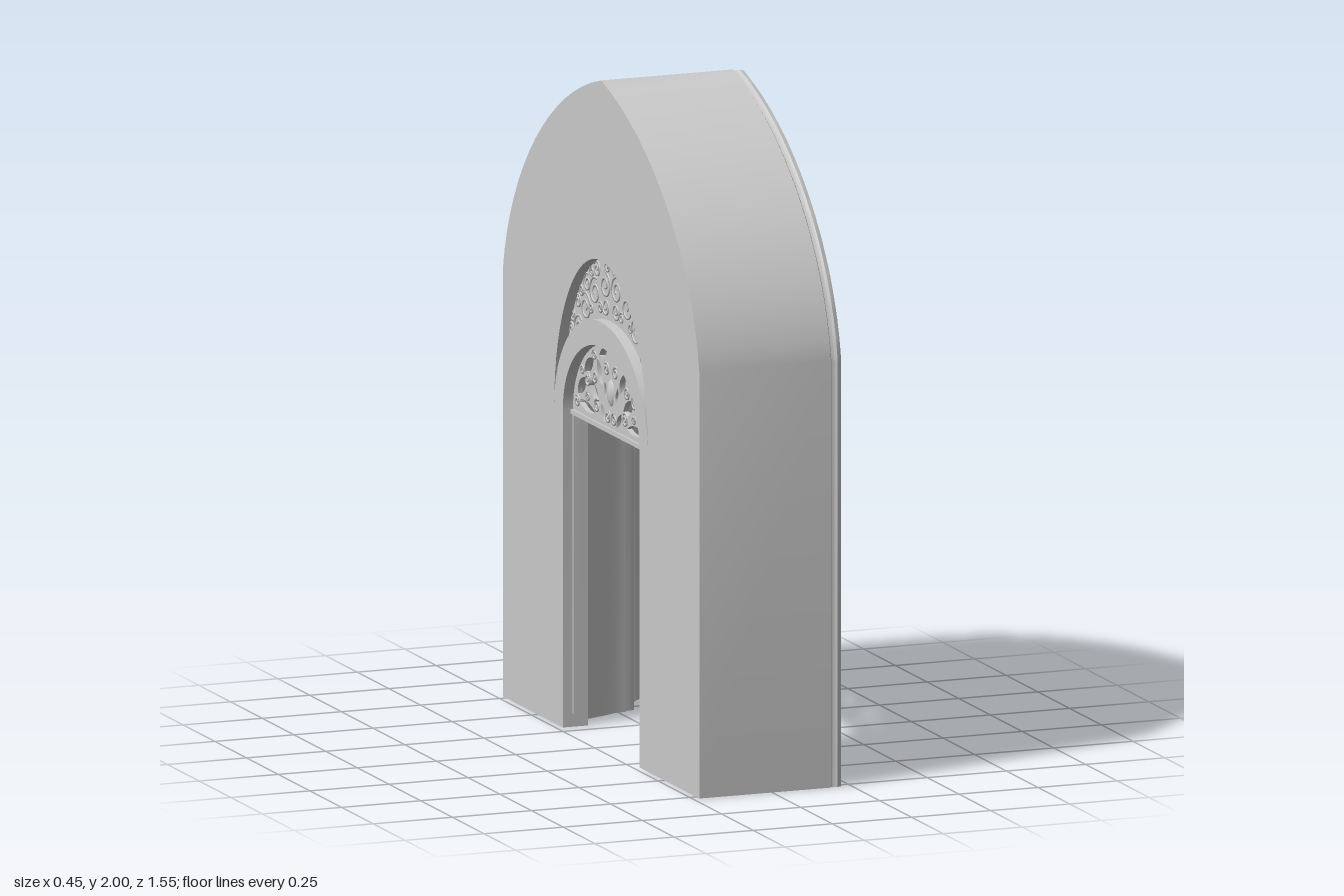
import * as THREE from 'three';
import { toCreasedNormals, mergeGeometries } from 'three/addons/utils/BufferGeometryUtils.js';

const material = new THREE.MeshStandardMaterial({ color: 0xcccccc });
const SEG = 16;

// Nested arch outlines: half width, spring height, apex height, roundness (0 pointed, 1 elliptical)
const KEYS = [
  [0.37, 0.95, 1.46, 1], [0.44, 0.98, 1.54, 0.8], [0.46, 1.0, 1.575, 0.7], [0.535, 1.08, 1.72, 0.5],
  [0.56, 1.1, 1.755, 0.45], [0.63, 1.19, 1.825, 0.25], [0.71, 1.26, 1.94, 0.1], [0.775, 1.28, 2.0, 0],
];

function archFor(w) {
  let i = 0;
  while (i < KEYS.length - 2 && w > KEYS[i + 1][0]) i++;
  const a = KEYS[i], b = KEYS[i + 1], t = (w - a[0]) / (b[0] - a[0]);
  return a.map((v, n) => v + (b[n] - v) * t);
}

// Points over one arch, from the +side foot over the apex to the other foot
function archPoints([w, spring, apex, round], foot = 0) {
  const mix = (a, b) => a + (b - a) * round, h = apex - spring;
  const curve = new THREE.CubicBezierCurve(
    new THREE.Vector2(w, spring),
    new THREE.Vector2(w * mix(0.93, 1), spring + h * mix(0.45, 0.55)),
    new THREE.Vector2(w * mix(0.52, 0.55), spring + h * mix(0.86, 1)),
    new THREE.Vector2(0, apex));
  const half = curve.getPoints(SEG);
  if (foot < spring) half.unshift(new THREE.Vector2(w, foot));
  const other = half.slice(0, -1).reverse().map(p => new THREE.Vector2(-p.x, p.y));
  return [...half, ...other];
}

// Closed moulding section [half width, depth] carried along its nested arches
function mouldedArch(section) {
  const rows = section.map(([w, x]) => archPoints(archFor(w)).map(p => [x, p.y, p.x]));
  const pos = [], n = rows.length, m = rows[0].length;
  for (let i = 0; i < n; i++) {
    const a = rows[i], b = rows[(i + 1) % n];
    for (let j = 0; j < m - 1; j++)
      pos.push(...a[j], ...b[j], ...b[j + 1], ...a[j], ...b[j + 1], ...a[j + 1]);
  }
  // feet
  const faces = THREE.ShapeUtils.triangulateShape(section.map(p => new THREE.Vector2(...p)), []);
  for (const [a, b, c] of faces) {
    pos.push(...rows[a][0], ...rows[c][0], ...rows[b][0]);
    pos.push(...rows[a][m - 1], ...rows[b][m - 1], ...rows[c][m - 1]);
  }
  const geo = new THREE.BufferGeometry();
  geo.setAttribute('position', new THREE.Float32BufferAttribute(pos, 3));
  return toCreasedNormals(geo, 0.6);
}

// Flat shape in the plane of the doorway, thickened from x0 to x1
function plate(shape, x0, x1) {
  const geo = new THREE.ExtrudeGeometry(shape, { depth: x1 - x0, bevelEnabled: false, curveSegments: 8 });
  geo.rotateY(Math.PI / 2).translate(x0, 0, 0);
  return toCreasedNormals(geo, 0.6);
}

function leafHole(x, y, length, width, angle) {
  const at = (u, v) => [x + u * Math.cos(angle) - v * Math.sin(angle), y + u * Math.sin(angle) + v * Math.cos(angle)];
  const l = length / 2, path = new THREE.Path();
  path.moveTo(...at(-l, 0));
  path.quadraticCurveTo(...at(0.01, width), ...at(l, 0));
  path.quadraticCurveTo(...at(-0.01, -width), ...at(-l, 0));
  return path;
}

// Spiral stem, deeper than it is wide
function scroll(z, y, r, start, turn) {
  const pts = [];
  for (let i = 0; i <= 12; i++) {
    const t = i / 12, a = start + turn * t * Math.PI * 3, q = r * (1 - 0.8 * t);
    pts.push(new THREE.Vector3(0, y + q * Math.sin(a), z + q * Math.cos(a)));
  }
  return new THREE.TubeGeometry(new THREE.CatmullRomCurve3(pts), 36, 0.005, 5).scale(2.6, 1, 1);
}

const mirroredScrolls = list => mergeGeometries(list.flatMap(([z, y, r, a, d]) =>
  [scroll(z, y, r, a, d), scroll(-z, y, r, Math.PI - a, -d)]));

export function createModel() {
  const model = new THREE.Group();
  const add = (name, geo, x = 0, y = 0, z = 0) => {
    const mesh = new THREE.Mesh(geo, material);
    mesh.name = name;
    mesh.position.set(x, y, z);
    model.add(mesh);
  };

  // Splayed surround: outer wall, broad front roll, hollow, steps and the slanted reveal
  add('mouldedSurround', mouldedArch([
    [0.775, -0.23], [0.775, 0.186], [0.768, 0.19], [0.768, 0.2], [0.773, 0.208], [0.768, 0.221],
    [0.755, 0.224], [0.722, 0.222], [0.716, 0.208], [0.7, 0.206], [0.68, 0.214], [0.655, 0.225],
    [0.635, 0.225], [0.618, 0.213], [0.608, 0.19], [0.602, 0.16], [0.592, 0.13], [0.578, 0.112],
    [0.565, 0.105], [0.562, 0.09], [0.555, 0.095], [0.547, 0.09], [0.543, 0.075], [0.535, 0.07],
    [0.532, 0.06], [0.468, 0.045], [0.466, 0.055], [0.46, 0.058], [0.453, 0.05], [0.45, 0.03],
    [0.44, 0.025], [0.435, -0.01], [0.415, -0.05], [0.39, -0.11], [0.37, -0.15], [0.37, -0.23],
  ]));

  // Inner door frame
  const frameShape = new THREE.Shape([
    ...archPoints([0.37, 0.95, 1.275, 1]),
    ...archPoints([0.302, 0.95, 1.2, 1]).reverse(),
  ]);
  add('doorFrame', plate(frameShape, -0.23, -0.15));
  for (const side of [1, -1])
    add('jambBead', new THREE.BoxGeometry(0.02, 0.9, 0.01), -0.19, 0.49, side * 0.299);

  // Upper panel between the frame and the surround
  const upper = new THREE.Shape([
    ...archPoints([0.372, 0.95, 1.462, 1], 1),
    ...archPoints([0.335, 0.95, 1.24, 1], 1).reverse(),
  ]);
  add('upperPanel', plate(upper, -0.198, -0.182));
  add('upperScrolls', mirroredScrolls([
    [0.045, 1.375, 0.042, 1.6, 1], [0.04, 1.312, 0.028, 0, -1], [0.125, 1.34, 0.045, 2, -1],
    [0.11, 1.41, 0.027, 0.5, 1], [0.2, 1.28, 0.045, 1, 1], [0.185, 1.355, 0.03, 2, -1],
    [0.255, 1.21, 0.036, 2.5, -1], [0.258, 1.285, 0.024, 0, 1], [0.31, 1.19, 0.022, 1, 1],
    [0.03, 1.435, 0.02, 2, 1], [0.083, 1.3, 0.018, 1, 1], [0.232, 1.325, 0.018, 3, 1],
    [0.155, 1.285, 0.016, 0, -1], [0.3, 1.235, 0.02, 2, 1], [0.15, 1.395, 0.016, 1, -1],
  ]), -0.19);

  // Pierced fanlight
  const fan = new THREE.Shape(archPoints([0.304, 0.95, 1.204, 1], 0.945));
  const holes = [
    [0.19, 0.982, 0.13, 0.03, 0.08], [0.23, 1.038, 0.09, 0.042, 2.4], [0.135, 1.04, 0.1, 0.042, 0.6],
    [0.175, 1.11, 0.09, 0.04, 2.5], [0.09, 1.105, 0.085, 0.038, 1.0], [0.062, 1.17, 0.07, 0.024, 2.7],
    [0.062, 0.988, 0.06, 0.026, 0.9], [0.045, 1.06, 0.05, 0.02, 1.3],
  ];
  for (const [x, y, l, w, a] of holes)
    fan.holes.push(leafHole(x, y, l, w, a), leafHole(-x, y, l, w, Math.PI - a));
  add('fanlight', plate(fan, -0.198, -0.182));
  add('fanlightScrolls', mirroredScrolls([
    [0.185, 1.065, 0.022, 2, 1], [0.125, 1.085, 0.02, 0, -1], [0.265, 0.985, 0.018, 1, 1],
    [0.11, 1.0, 0.022, 2, -1], [0.035, 1.125, 0.02, 1, 1], [0.13, 1.15, 0.016, 1, -1],
    [0.025, 0.985, 0.02, 2, 1], [0.18, 1.015, 0.014, 1, -1], [0.225, 1.085, 0.014, 0, 1],
  ]), -0.19);
  add('fanlightBoss', new THREE.SphereGeometry(0.028, 12, 8).scale(0.7, 1.6, 1), -0.19, 1.06, 0);
  add('lintelBar', new THREE.BoxGeometry(0.03, 0.014, 0.606), -0.19, 0.946, 0);

  return model;
}
